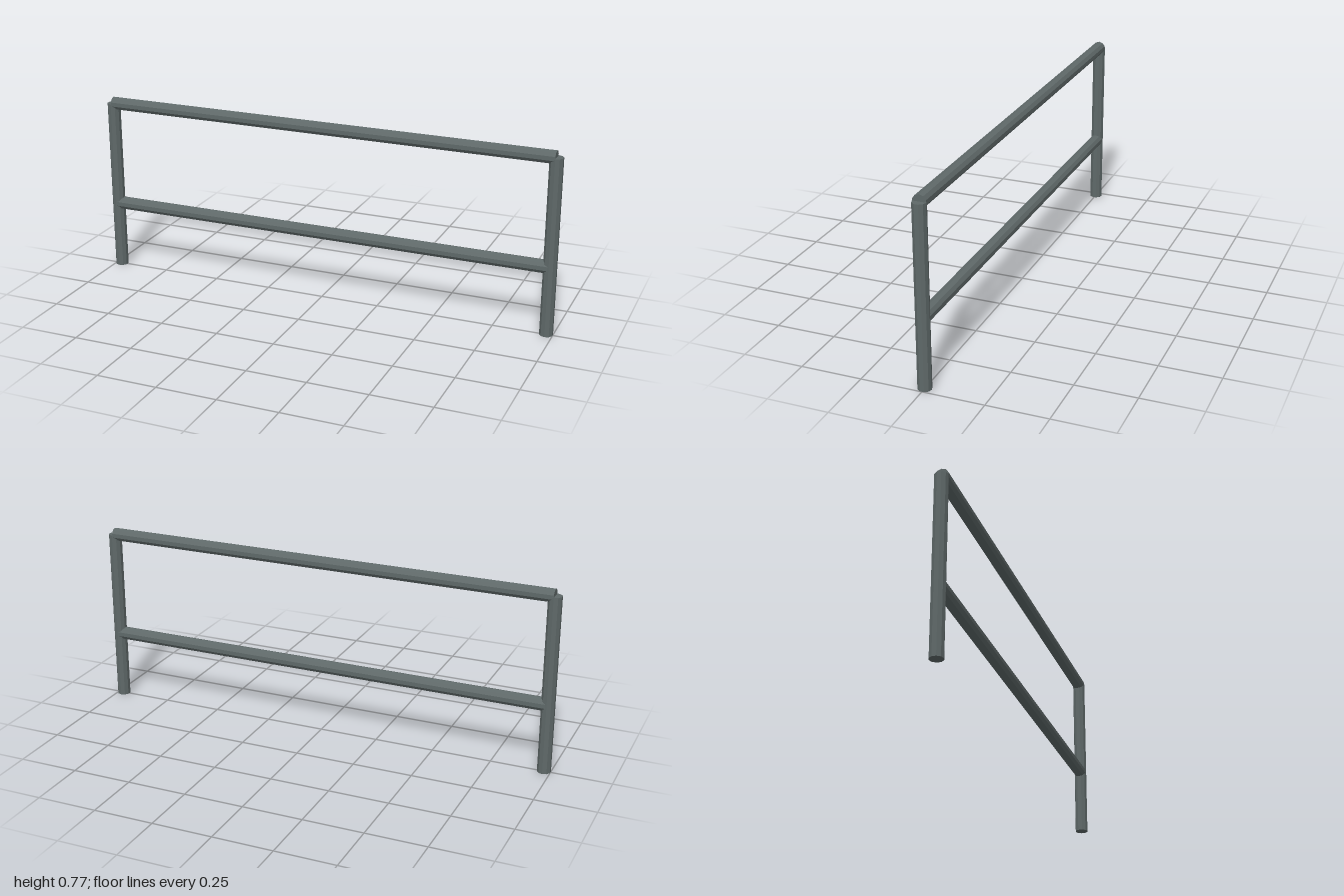
import * as THREE from 'three';

const RADIUS = 0.028;
const SIDES = 10;
const POST_X = 0.973;
const HEIGHT = 0.747;

export function createModel() {
  const group = new THREE.Group();
  group.name = 'railing';
  const steel = new THREE.MeshStandardMaterial({ color: 0x5f6969, flatShading: true });
  steel.name = 'greySteel';

  const addBar = (name, geometry, x, y) => {
    const mesh = new THREE.Mesh(geometry, steel);
    mesh.name = name;
    mesh.position.set(x, y, 0);
    group.add(mesh);
  };

  // Upright posts
  const post = new THREE.CylinderGeometry(RADIUS, RADIUS, HEIGHT, SIDES);
  addBar('leftPost', post, POST_X, HEIGHT / 2);
  addBar('rightPost', post, -POST_X, HEIGHT / 2);

  // Horizontal rails, turned so that an edge runs along the top
  const rail = new THREE.CylinderGeometry(RADIUS, RADIUS, POST_X * 2, SIDES);
  rail.rotateY(Math.PI / 2).rotateZ(Math.PI / 2);
  addBar('topRail', rail, 0, HEIGHT);
  addBar('middleRail', rail, 0, 0.292);

  return group;
}
